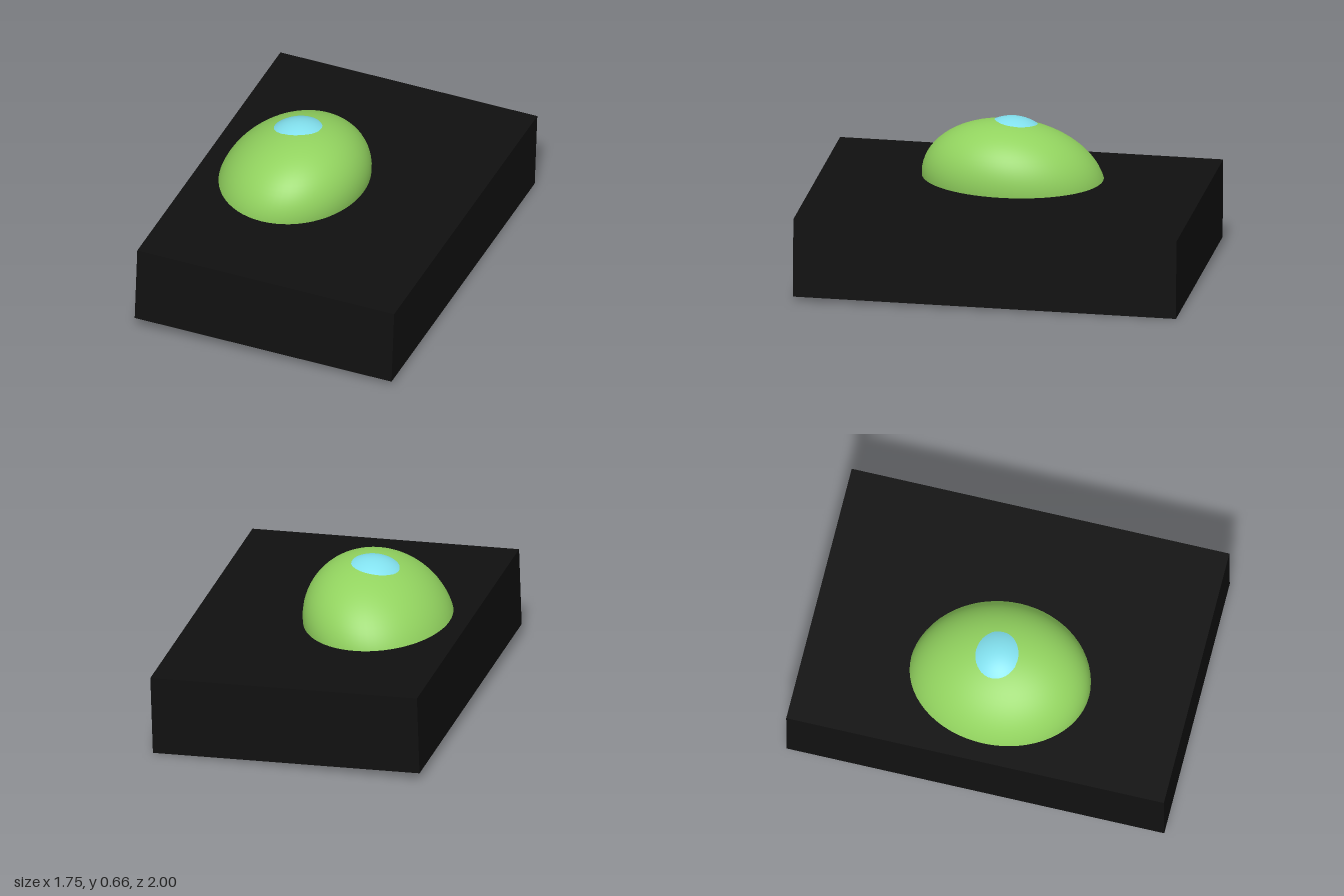
import * as THREE from 'three';

const YAW = -Math.PI / 8;

function addMesh(parent, name, geometry, color) {
  const mesh = new THREE.Mesh(geometry, new THREE.MeshStandardMaterial({ color }));
  mesh.name = name;
  parent.add(mesh);
  return mesh;
}

export function createModel() {
  const model = new THREE.Group();
  model.name = 'domeOnSlab';

  // Slab: turned on the ground plane, then tipped slightly to one side
  const slab = addMesh(model, 'slab', new THREE.BoxGeometry(1.19, 0.35, 1.673), 0x101010);
  slab.rotation.set(0, YAW, -0.032, 'ZYX');
  slab.position.y = 0.204;

  // Dome: an oval ball aligned with the slab, leaning forward, half sunk
  const across = new THREE.Vector3(0.322, 0, 0).applyAxisAngle(THREE.Object3D.DEFAULT_UP, YAW);
  const along = new THREE.Vector3(0, 0, 0.395).applyAxisAngle(THREE.Object3D.DEFAULT_UP, YAW);
  const lean = new THREE.Vector3(0.04, 0.285, 0.06);
  const domeShape = new THREE.SphereGeometry(1, 64, 40);
  domeShape.applyMatrix4(new THREE.Matrix4().makeBasis(across, lean, along));
  addMesh(model, 'dome', domeShape, 0x92d35f).position.set(-0.18, 0.36, -0.066);

  // Cap: a smaller ball just breaking through the top of the dome
  const cap = addMesh(model, 'cap', new THREE.SphereGeometry(0.2, 48, 32), 0x82e0ee);
  cap.position.set(-0.15, 0.457, -0.05);

  return model;
}
